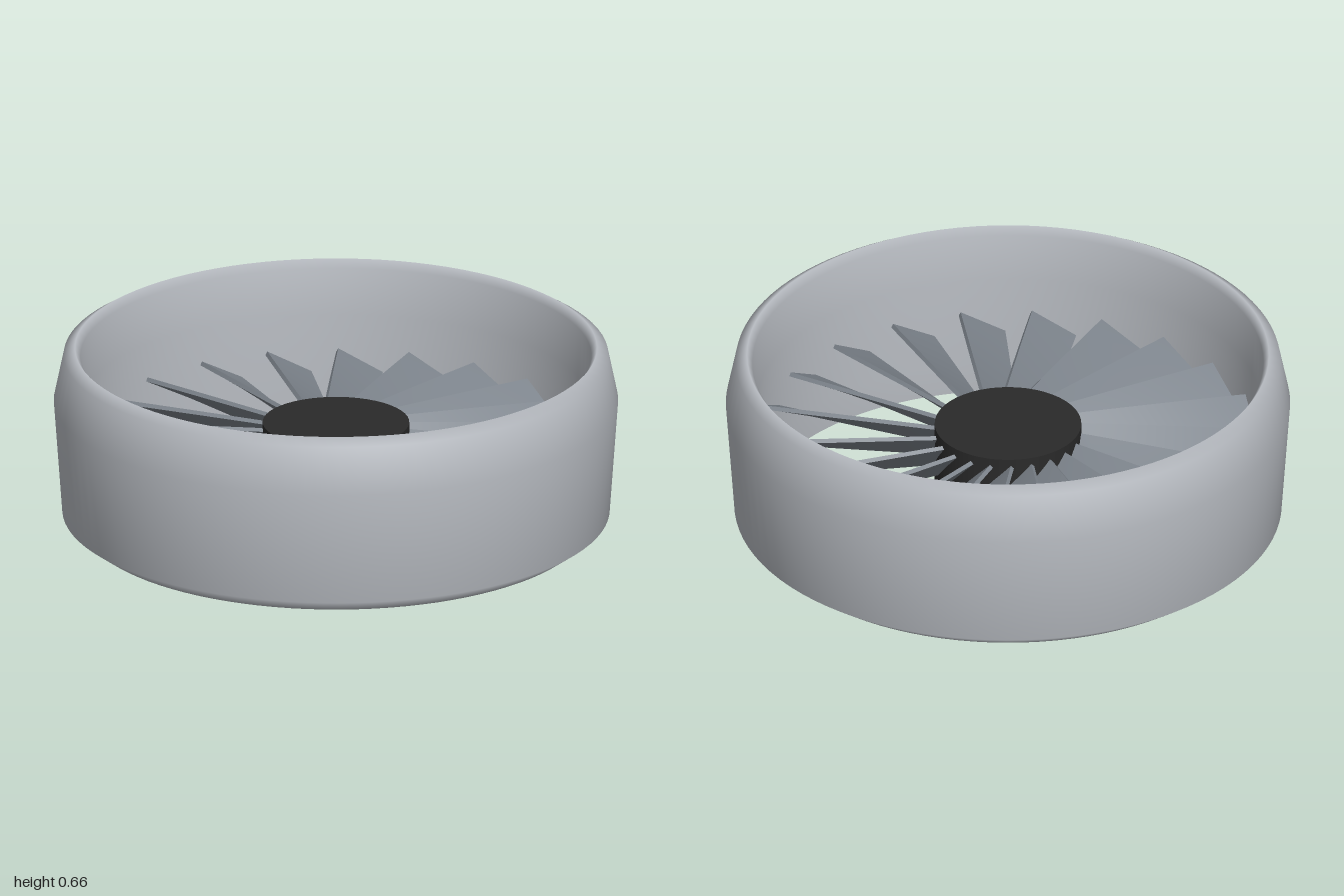
import * as THREE from 'three';

const BLADES = 22;
const ROOT = 0.23, TIP = 0.887;

// Twisted blade pointing along +z: steep at the root, flatter at the tip
function bladeGeometry() {
  const g = new THREE.BoxGeometry(0.18, 0.015, TIP - ROOT, 1, 1, 10);
  g.translate(0, 0, (TIP + ROOT) / 2);
  const p = g.attributes.position;
  const v = new THREE.Vector3();
  const axis = new THREE.Vector3(0, 0, 1);
  for (let i = 0; i < p.count; i++) {
    v.fromBufferAttribute(p, i);
    const t = (v.z - ROOT) / (TIP - ROOT);
    v.applyAxisAngle(axis, THREE.MathUtils.degToRad(THREE.MathUtils.lerp(47, 28, t)));
    p.setXYZ(i, v.x, v.y, v.z);
  }
  g.computeVertexNormals();
  return g;
}

export function createModel() {
  const group = new THREE.Group();
  const mat = (name, color) => {
    const m = new THREE.MeshStandardMaterial({ color });
    m.name = name;
    return m;
  };
  const ductMat = mat('light grey', 0xb9bdc3);
  const bladeMat = mat('steel grey', 0x7d848c);
  const hubMat = mat('charcoal', 0x2a2a2a);

  // Duct ring: up the outside, over the lip, down the inside
  const profile = [
    [0.9, 0], [0.97, 0.05], [1, 0.465], [0.965, 0.635], [0.925, 0.66],
    [0.905, 0.63], [0.893, 0.46], [0.893, 0.12], [0.9, 0],
  ].map(([r, y]) => new THREE.Vector2(r, y));
  const duct = new THREE.Mesh(new THREE.LatheGeometry(profile, 96), ductMat);
  duct.name = 'duct';
  group.add(duct);

  // Hub
  const hub = new THREE.Mesh(new THREE.CylinderGeometry(0.26, 0.26, 0.3, 48), hubMat);
  hub.name = 'hub';
  hub.position.y = 0.23;
  group.add(hub);

  // Fan blades
  const fan = new THREE.Group();
  fan.name = 'fanBlades';
  fan.position.y = 0.285;
  const geometry = bladeGeometry();
  for (let i = 0; i < BLADES; i++) {
    const blade = new THREE.Mesh(geometry, bladeMat);
    blade.name = 'blade';
    blade.rotation.y = (i / BLADES) * Math.PI * 2;
    fan.add(blade);
  }
  group.add(fan);

  return group;
}
